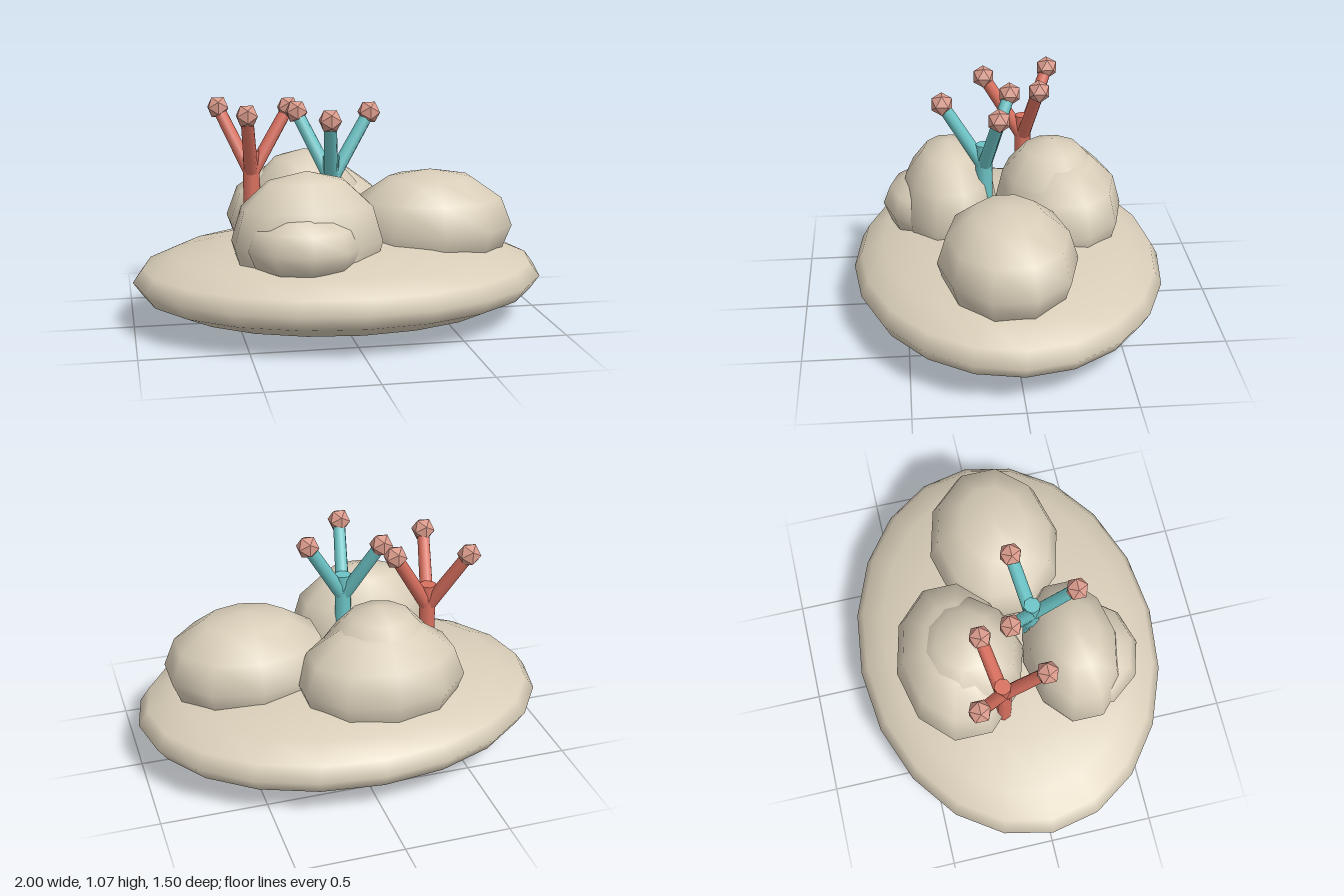
import * as THREE from 'three';

export function createModel() {
  const model = new THREE.Group();
  const mat = (name, color) => {
    const m = new THREE.MeshStandardMaterial({ color });
    m.name = name;
    return m;
  };
  const stone = mat('sand stone', 0xd8cdb8);
  const red = mat('coral red', 0xd9705f);
  const teal = mat('coral teal', 0x6cc4c6);
  const pink = mat('coral tip pink', 0xd99a8b);
  pink.flatShading = true;

  const add = (parent, name, geometry, material) => {
    const mesh = new THREE.Mesh(geometry, material);
    mesh.name = name;
    parent.add(mesh);
    return mesh;
  };

  // Smooth, coarse ellipsoid with a vertex facing +z
  const ellipsoid = (name, center, radii, sides, rows) => {
    const g = new THREE.SphereGeometry(1, sides, rows, Math.PI / 2);
    g.scale(...radii);
    add(model, name, g, stone).position.set(...center);
  };

  // Flattened base and the rocks on it
  ellipsoid('base', [0, 0.223, 0], [1, 0.22, 0.752], 20, 10);
  ellipsoid('leftRock', [0.445, 0.46, 0.035], [0.41, 0.275, 0.325], 10, 6);
  ellipsoid('backRock', [-0.12, 0.46, -0.28], [0.41, 0.29, 0.295], 10, 6);
  ellipsoid('backRockTop', [-0.13, 0.49, -0.23], [0.3, 0.32, 0.28], 10, 6);
  ellipsoid('frontRock', [-0.2, 0.46, 0.275], [0.363, 0.33, 0.24], 10, 6);
  ellipsoid('frontRockBump', [-0.22, 0.455, 0.335], [0.285, 0.18, 0.265], 10, 6);

  // Cylinder between two points
  const rod = (parent, name, a, b, r0, r1, material) => {
    const dir = b.clone().sub(a);
    const mesh = add(parent, name, new THREE.CylinderGeometry(r1, r0, dir.length(), 8), material);
    mesh.position.copy(a).addScaledVector(dir, 0.5);
    mesh.quaternion.setFromUnitVectors(new THREE.Vector3(0, 1, 0), dir.normalize());
  };

  // Coral: upright stem, three branches, faceted tips
  const coral = (name, x, z, material, tips) => {
    const group = new THREE.Group();
    group.name = name;
    model.add(group);
    rod(group, 'stem', new THREE.Vector3(x, 0.36, z), new THREE.Vector3(x, 0.825, z), 0.042, 0.04, material);
    for (const [tx, tz] of tips) {
      const end = new THREE.Vector3(tx, 1.022, tz);
      rod(group, 'branch', new THREE.Vector3(x, 0.71, z), end, 0.034, 0.03, material);
      add(group, 'tip', new THREE.IcosahedronGeometry(0.057), pink).position.copy(end);
    }
  };
  coral('redCoral', -0.41, -0.115, red, [[-0.555, -0.25], [-0.22, -0.175], [-0.45, 0.08]]);
  coral('tealCoral', -0.055, 0.107, teal, [[-0.2, -0.03], [0.137, 0.048], [-0.095, 0.303]]);

  return model;
}
